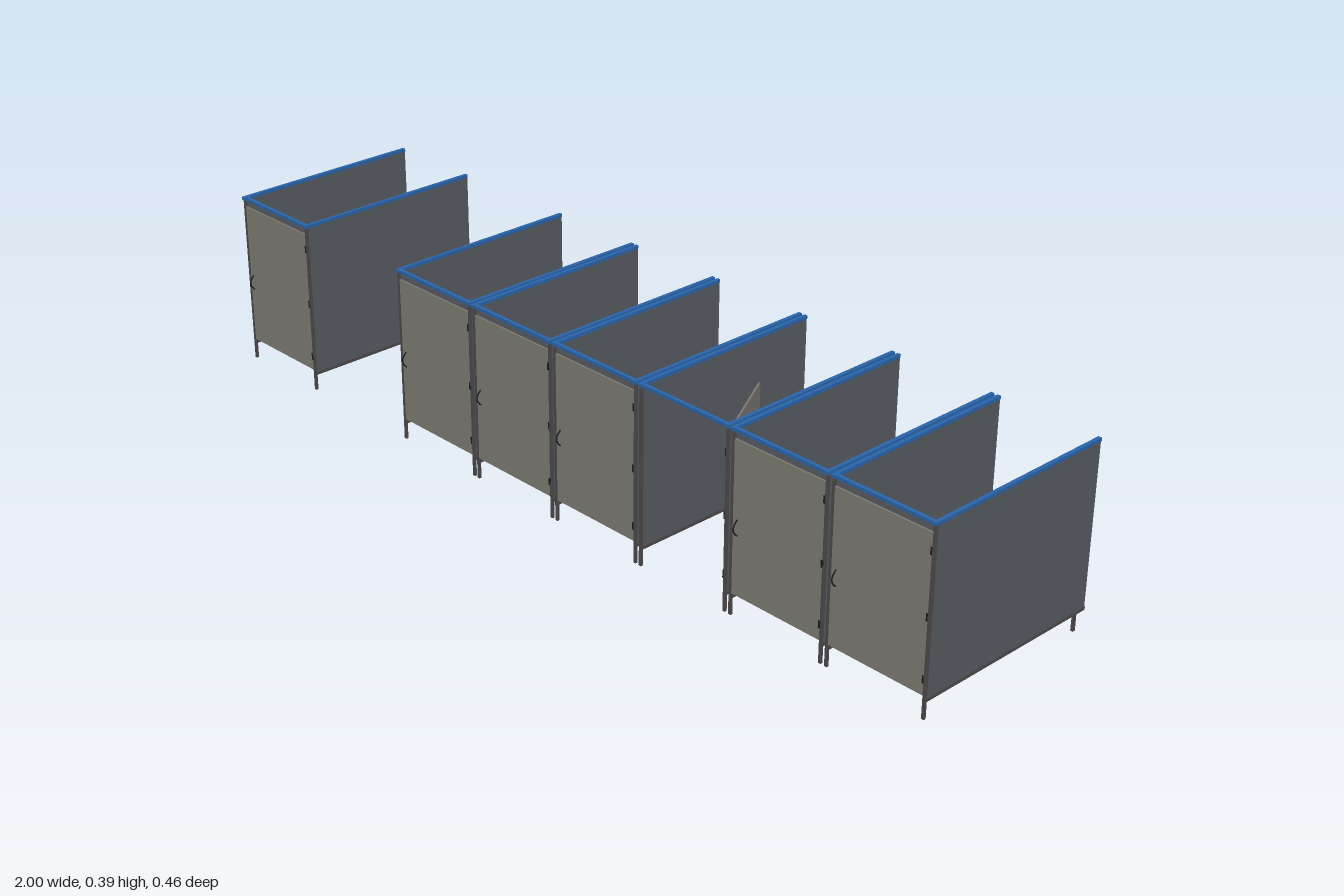
import * as THREE from 'three';

const mat = (name, color) => {
  const m = new THREE.MeshStandardMaterial({ color });
  m.name = name;
  return m;
};

export function createModel() {
  const panelGrey = mat('panelGrey', 0x54585d);
  const doorGrey = mat('doorGrey', 0x7a7870);
  const railBlue = mat('railBlue', 0x2863a8);
  const frameGrey = mat('frameGrey', 0x4a4748);
  const black = mat('black', 0x1c1c1e);

  const W = 0.236, FRONT = 0.217, BACK = -0.229, TOP = 0.393;
  const root = new THREE.Group();
  root.name = 'cubicleRow';

  // box given by its minimum and maximum corners
  const box = (parent, name, m, [x0, y0, z0], [x1, y1, z1]) => {
    const mesh = new THREE.Mesh(new THREE.BoxGeometry(x1 - x0, y1 - y0, z1 - z0), m);
    mesh.position.set((x0 + x1) / 2, (y0 + y1) / 2, (z0 + z1) / 2);
    mesh.name = name;
    parent.add(mesh);
    return mesh;
  };

  // side wall with rails, front post and rear foot, centred on x
  const addSide = (parent, x) => {
    const side = new THREE.Group();
    side.name = 'sideWall';
    side.position.x = x;
    box(side, 'wallPanel', panelGrey, [-0.0025, 0.042, BACK], [0.0025, 0.387, 0.216]);
    box(side, 'topRail', railBlue, [-0.004, 0.386, BACK], [0.004, TOP, 0.223]);
    box(side, 'bottomRail', frameGrey, [-0.004, 0.036, BACK], [0.004, 0.043, 0.217]);
    box(side, 'frontPost', frameGrey, [-0.003, 0, 0.2145], [0.003, 0.387, 0.22]);
    box(side, 'rearFoot', frameGrey, [-0.003, 0, -0.206], [0.003, 0.037, -0.2]);
    parent.add(side);
  };

  // door pivots on its hinge edge and extends towards -x
  const addDoor = (parent, angle) => {
    const door = new THREE.Group();
    door.name = 'door';
    door.position.set(W - 0.007, 0, FRONT);
    door.rotation.y = angle;
    const len = W - 0.0125;
    box(door, 'doorPanel', doorGrey, [-len, 0.047, -0.002], [0, 0.37, 0.002]);
    // bow handles on both faces
    for (const s of [1, -1]) {
      const path = new THREE.QuadraticBezierCurve3(
        new THREE.Vector3(0, -0.017, 0), new THREE.Vector3(0, 0, s * 0.021), new THREE.Vector3(0, 0.017, 0));
      const handle = new THREE.Mesh(new THREE.TubeGeometry(path, 10, 0.0015, 6), black);
      handle.name = 'handle';
      handle.position.set(-len + 0.013, 0.191, s * 0.002);
      door.add(handle);
    }
    for (const y of [0.08, 0.205, 0.335])
      box(door, 'hinge', black, [-0.004, y - 0.008, -0.004], [0.003, y + 0.008, 0.003]);
    parent.add(door);
  };

  // one detached cubicle, then a row of six with the fourth door open
  const starts = [-1];
  for (let i = 0; i < 6; i++) starts.push(-0.45 + i * 0.2428);
  starts.forEach((x, i) => {
    const cubicle = new THREE.Group();
    cubicle.name = 'cubicle' + (i + 1);
    cubicle.position.x = x;
    addSide(cubicle, 0.004);
    addSide(cubicle, W - 0.004);
    box(cubicle, 'headRail', railBlue, [0.004, 0.386, 0.213], [W - 0.004, TOP, 0.221]);
    addDoor(cubicle, i === 4 ? -1.062 : 0);
    root.add(cubicle);
  });

  return root;
}
